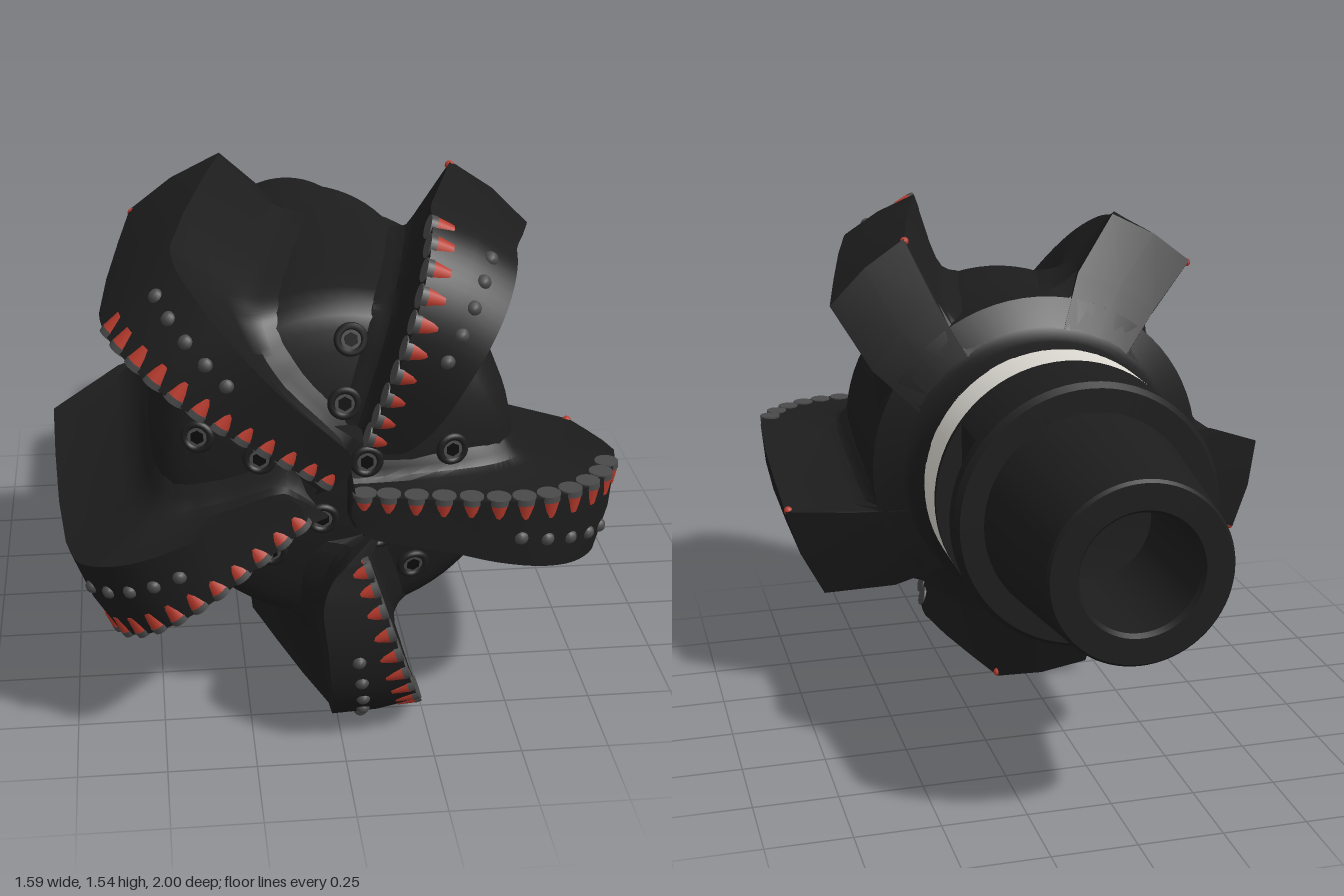
import * as THREE from 'three';
import { toCreasedNormals } from 'three/addons/utils/BufferGeometryUtils.js';

const mat = (color, extra = {}) => {
  const m = new THREE.MeshStandardMaterial(extra);
  m.color.set(color);
  return m;
};
const V2 = (p) => new THREE.Vector2(p[0], p[1]);
const V3 = (x, y, z) => new THREE.Vector3(x, y, z);

function add(parent, name, geometry, material, pos) {
  const m = new THREE.Mesh(geometry, material);
  m.name = name;
  if (pos) m.position.copy(pos);
  parent.add(m);
  return m;
}

// Solid of revolution about the z axis; points are [radius, z] from back to front
function turned(points) {
  const g = new THREE.LatheGeometry(points.map(V2), 72);
  g.rotateX(Math.PI / 2);
  return toCreasedNormals(g, 0.55);
}

const hubZ = (r) => 0.82 - 0.35 * r * r;

// Blade frame: r from the bit axis, d sideways behind the leading face, twisted towards the back
function bladePoint(r, z, d) {
  const twist = -0.19 * Math.max(0, (0.72 - z) / 0.52);
  const x = Math.sqrt(Math.max(r * r - d * d, 0.36 * r * r));
  return V3(x, -d, z).applyAxisAngle(V3(0, 0, 1), twist);
}

// Crown outline [radius, z] and matching width and hub foot for a blade starting at r0
function bladeCurves(r0) {
  const z0 = 0.915 + 0.15 * r0;
  const rows = [
    // r, z, width, foot r, foot z
    [r0, z0, 0.06, r0, hubZ(r0)],
    [r0 + 0.04, z0 + 0.008, 0.105, r0 + 0.04, hubZ(r0 + 0.04)],
    [0.32, 0.97, 0.155, 0.32, hubZ(0.32)],
    [0.45, 0.985, 0.185, 0.4, 0.764],
    [0.58, 0.965, 0.215, 0.45, 0.74],
    [0.68, 0.91, 0.238, 0.48, 0.715],
    [0.755, 0.82, 0.253, 0.5, 0.67],
    [0.788, 0.7, 0.264, 0.51, 0.6],
  ];
  return {
    crown: new THREE.CatmullRomCurve3(rows.map((q) => V3(q[0], q[1], q[2]))),
    foot: new THREE.CatmullRomCurve3(rows.map((q) => V3(q[3], q[4], 0))),
  };
}

function bladeGeometry({ crown, foot }) {
  const stations = [];
  const n = 28;
  for (let i = 0; i <= n; i++) {
    const a = crown.getPoint(i / n), b = foot.getPoint(i / n);
    stations.push([a.x, a.y, a.z, b.x, b.y]);
  }
  // gauge and back cone
  stations.push([0.795, 0.55, 0.275, 0.512, 0.5], [0.795, 0.37, 0.287, 0.516, 0.3],
    [0.795, 0.2, 0.3, 0.518, 0.12], [0.6, 0.095, 0.275, 0.5, 0.05], [0.42, -0.005, 0.21, 0.4, -0.02]);

  // section: height between hub and crown, and side offset, with fillets at the foot
  const section = (w) => [
    [-0.12, -0.085], [0.01, -0.055], [0.05, -0.03], [0.12, -0.01], [0.24, 0], [1, 0],
    [1, w * 0.5], [1, w], [0.3, w - 0.025], [0.14, w - 0.015], [0.06, w + 0.005], [0.01, w + 0.03], [-0.12, w + 0.06],
  ];
  const pos = [], idx = [];
  const m = section(0).length;
  stations.forEach(([r, z, w, fr, fz]) => {
    for (const [u, d] of section(w)) {
      const p = bladePoint(fr + (r - fr) * u, fz + (z - fz) * u, d);
      pos.push(p.x, p.y, p.z);
    }
  });
  for (let j = 0; j < stations.length - 1; j++) {
    for (let i = 0; i < m - 1; i++) {
      const a = j * m + i, c = a + m;
      idx.push(a, a + 1, c, a + 1, c + 1, c);
    }
  }
  for (let i = 1; i < m - 1; i++) idx.push(0, i + 1, i); // inner end cap
  const g = new THREE.BufferGeometry();
  g.setAttribute('position', new THREE.Float32BufferAttribute(pos, 3));
  g.setIndex(idx);
  return toCreasedNormals(g, 0.5);
}

export function createModel() {
  const model = new THREE.Group();
  model.name = 'drillBit';
  const axis = new THREE.Group();
  axis.name = 'bitBody';
  axis.position.y = 0.795;
  model.add(axis);

  const dark = mat(0x1d1d1d), steel = mat(0x4a4a4a), red = mat(0xb83a2c), pale = mat(0xdcdad2);
  const black = mat(0x0c0c0c);
  const darkThin = mat(0x1d1d1d, { side: THREE.DoubleSide });

  // Hub with domed face and back cone
  const face = [0.42, 0.36, 0.28, 0.2, 0.1, 0].map((r) => [r, hubZ(r)]);
  add(axis, 'hub', turned([
    [0.4, -0.12], [0.4, -0.07], [0.405, -0.04], [0.42, -0.01], [0.44, 0.008], [0.525, 0.054], [0.522, 0.15],
    [0.518, 0.4], [0.513, 0.58], [0.503, 0.66], [0.484, 0.712], [0.455, 0.742], ...face,
  ]), dark);

  // Shank: band, collar with wrench flats, hollow tapered pin
  add(axis, 'band', turned([[0.4, -0.26], [0.4, -0.115]]), pale);
  add(axis, 'collarFront', turned([[0, -0.28], [0.4, -0.28], [0.4, -0.26]]), dark);
  const a = Math.acos(0.8);
  const flats = new THREE.Shape();
  flats.absarc(0, 0, 0.4, a, Math.PI - a);
  flats.absarc(0, 0, 0.4, Math.PI + a, 2 * Math.PI - a);
  flats.closePath();
  const flatGeo = new THREE.ExtrudeGeometry(flats, { depth: 0.18, bevelEnabled: false, curveSegments: 32 });
  flatGeo.translate(0, 0, -0.46);
  add(axis, 'wrenchFlats', toCreasedNormals(flatGeo, 0.5), dark);
  add(axis, 'collarBack', turned([
    [0.3, -0.525], [0.385, -0.525], [0.4, -0.505], [0.4, -0.46], [0, -0.46],
  ]), dark);
  add(axis, 'pin', turned([
    [0, -0.55], [0.17, -0.56], [0.17, -0.985], [0.18, -1], [0.255, -1], [0.263, -0.99], [0.315, -0.52],
  ]), dark);

  // Five blades with cutters and studs
  const cutterBody = new THREE.CylinderGeometry(0.032, 0.022, 0.05, 16);
  const cutterFace = new THREE.CylinderGeometry(0.033, 0.033, 0.018, 16);
  const stud = new THREE.SphereGeometry(0.021, 12, 8);
  [0.03, 0.17, 0.05, 0.12, 0.2].forEach((r0, k) => {
    const blade = new THREE.Group();
    blade.name = 'blade' + (k + 1);
    blade.rotation.z = (k * 2 * Math.PI) / 5;
    axis.add(blade);
    const curves = bladeCurves(r0);
    add(blade, 'bladeBody', bladeGeometry(curves), darkThin);

    // Point on the crown outline, sunk below the surface by a given depth
    const length = curves.crown.getLength();
    const sunk = (s, depth) => {
      const p = curves.crown.getPointAt(s / length), q = curves.crown.getTangentAt(s / length);
      const l = Math.hypot(q.x, q.y);
      return [p.x + (q.y / l) * depth, p.y - (q.x / l) * depth];
    };

    // Cutters spaced evenly along the leading edge
    const span = length - 0.125;
    const count = Math.round(span / 0.075) + 1;
    for (let i = 0; i < count; i++) {
      const [r, z] = sunk(0.035 + (i * span) / (count - 1), 0.023);
      add(blade, 'cutterBody', cutterBody, red, V3(r, -0.038, z));
      add(blade, 'cutterFace', cutterFace, steel, V3(r, -0.005, z));
    }
    add(blade, 'gaugeCutter', new THREE.SphereGeometry(0.014, 10, 6), red, bladePoint(0.785, 0.21, 0.004));

    // Row of domed studs behind the cutters
    for (let i = 0; i < 5; i++) {
      const [r, z] = sunk(length - 0.46 + i * 0.08, 0.008);
      add(blade, 'stud', stud, steel, bladePoint(r, z, 0.115 + i * 0.014));
    }
  });

  // Nozzles with hexagonal sockets, set square to the hub face
  const ring = new THREE.TorusGeometry(0.036, 0.011, 8, 24);
  const plug = new THREE.CylinderGeometry(0.034, 0.034, 0.03, 20).rotateX(Math.PI / 2);
  const socket = new THREE.CylinderGeometry(0.02, 0.02, 0.034, 6).rotateX(Math.PI / 2);
  const nozzles = [
    [0.01, 0.225], [0.07, 0.055], [-0.05, -0.115], [0.11, -0.175], [-0.22, 0.07],
    [0.03, 0.395], [0.31, 0.065], [0.21, -0.295], [-0.19, -0.225], [-0.385, 0.125],
  ];
  nozzles.forEach(([x, y]) => {
    const nozzle = new THREE.Group();
    nozzle.name = 'nozzle';
    nozzle.position.set(x, y, hubZ(Math.hypot(x, y)) + 0.004);
    nozzle.quaternion.setFromUnitVectors(V3(0, 0, 1), V3(0.7 * x, 0.7 * y, 1).normalize());
    add(nozzle, 'nozzleRing', ring, dark);
    add(nozzle, 'nozzlePlug', plug, steel, V3(0, 0, -0.01));
    add(nozzle, 'nozzleSocket', socket, black, V3(0, 0, -0.01));
    axis.add(nozzle);
  });
  return model;
}
